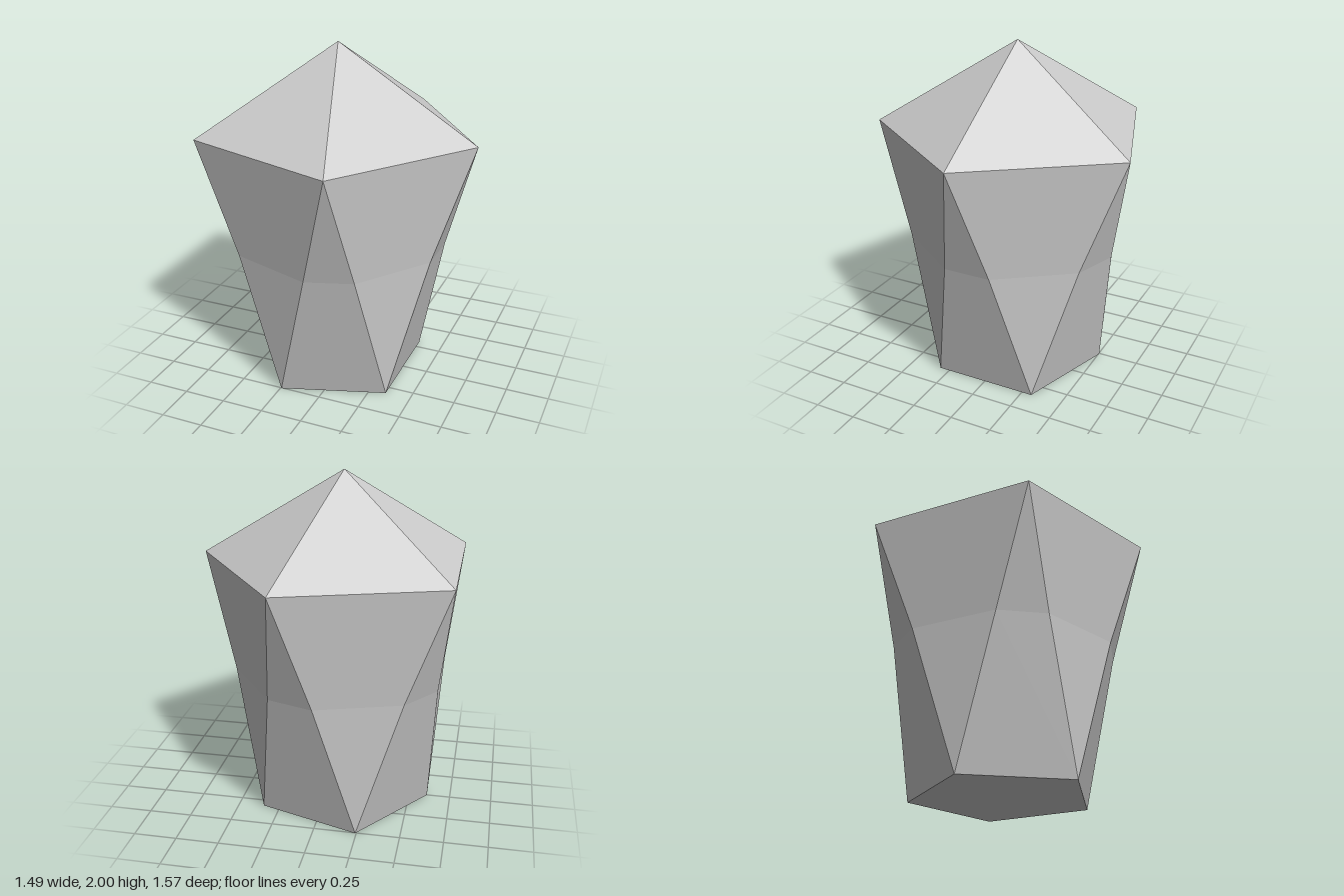
import * as THREE from 'three';

const CENTRE_X = -0.08;

// point on a ring around the vertical axis, angle in degrees from +x towards +z
function ringPoint(radius, degrees, y) {
  const a = THREE.MathUtils.degToRad(degrees);
  return [CENTRE_X + radius * Math.cos(a), y, radius * Math.sin(a)];
}

// flat polygons, each split into a fan of triangles
function facetMesh(name, polygons, material) {
  const positions = [];
  for (const p of polygons) {
    for (let i = 1; i < p.length - 1; i++) positions.push(...p[0], ...p[i], ...p[i + 1]);
  }
  const geometry = new THREE.BufferGeometry();
  geometry.setAttribute('position', new THREE.Float32BufferAttribute(positions, 3));
  geometry.computeVertexNormals();
  const mesh = new THREE.Mesh(geometry, material);
  mesh.name = name;
  return mesh;
}

export function createModel() {
  const stone = new THREE.MeshStandardMaterial({ color: 0xcccccc, flatShading: true });
  stone.name = 'grey stone';

  const apex = [CENTRE_X, 2, 0];
  const top = (i) => ringPoint(0.825, 72 * i, 1.49);
  const waist = (i, side) => ringPoint(0.636, 72 * i + side * 12.7, 0.82);
  const foot = (i) => ringPoint(0.53, 72 * i + 36, 0);

  const crown = [], upper = [], lower = [], base = [];
  for (let i = 0; i < 5; i++) {
    const j = i + 1;
    // pointed crown
    crown.push([top(i), apex, top(j)]);
    // upper body: wide panel, then a narrow wedge under each corner
    upper.push([waist(i, 1), top(i), top(j), waist(j, -1)]);
    upper.push([waist(i, -1), top(i), waist(i, 1)]);
    // lower body: panel under each wedge, then a triangle pointing down
    lower.push([foot(i - 1), waist(i, -1), waist(i, 1), foot(i)]);
    lower.push([foot(i), waist(i, 1), waist(j, -1)]);
    base.push(foot(i));
  }

  const group = new THREE.Group();
  group.name = 'facetedCrystal';
  group.add(
    facetMesh('crown', crown, stone),
    facetMesh('upperBody', upper, stone),
    facetMesh('lowerBody', lower, stone),
    facetMesh('base', [base], stone)
  );
  return group;
}
